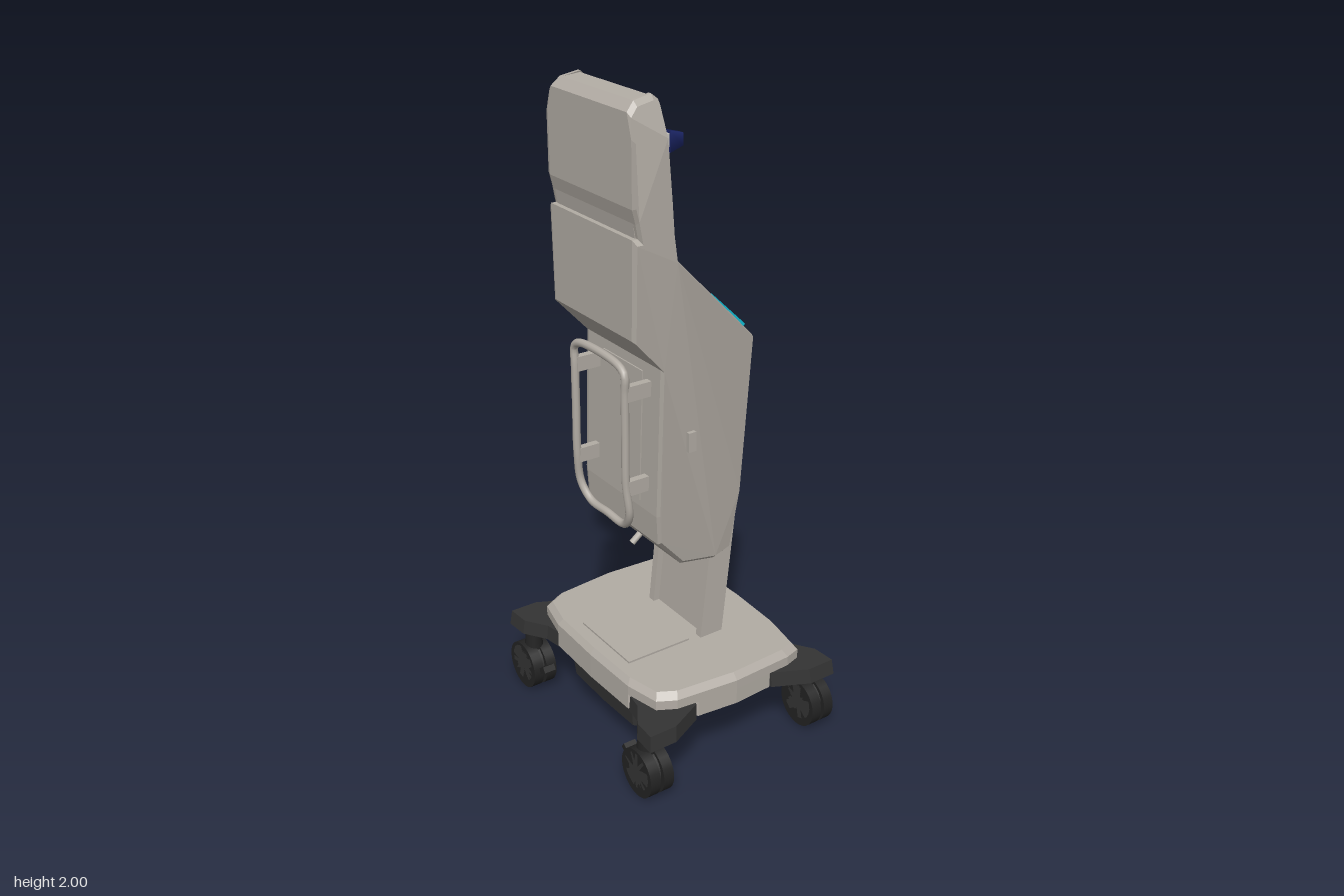
import * as THREE from 'three';

const mat = (name, color) => {
  const m = new THREE.MeshStandardMaterial({ color });
  m.name = name;
  return m;
};

export function createModel() {
  const root = new THREE.Group();
  root.name = 'medicalCart';
  const body = mat('warmGrey', 0xb2aca4);
  const light = mat('lightGrey', 0xcbc8c2);
  const dark = mat('charcoal', 0x343434);
  const black = mat('black', 0x232323);
  const cyan = mat('screenCyan', 0x11c0d8);
  const red = mat('red', 0xb02424);
  const blue = mat('navyBlue', 0x1c2668);

  const add = (name, geo, material, pos = [0, 0, 0], rotZ = 0) => {
    const m = new THREE.Mesh(geo, material);
    m.name = name;
    m.position.set(...pos);
    m.rotation.z = rotZ;
    root.add(m);
    return m;
  };
  const box = (name, material, size, pos, rotZ) => add(name, new THREE.BoxGeometry(...size), material, pos, rotZ);
  const shapeOf = pts => new THREE.Shape(pts.map(p => new THREE.Vector2(...p)));

  // Slab with a side profile in x,y; its z faces follow width rules, optional inset gives a chamfer
  const slab = (name, pts, z0, z1, centre, inset0 = 1, inset1 = 1, material = body) => {
    const g = new THREE.ExtrudeGeometry(shapeOf(pts), { depth: 1, bevelEnabled: false });
    const p = g.attributes.position;
    for (let i = 0; i < p.count; i++) {
      const x = p.getX(i), y = p.getY(i), end = p.getZ(i) > 0.5;
      const k = end ? inset1 : inset0;
      const [cx, cy] = centre || [0, 0];
      p.setXYZ(i, cx + (x - cx) * k, cy + (y - cy) * k, end ? z1(x, y) : z0(x, y));
    }
    g.computeVertexNormals();
    return add(name, g, material);
  };
  const core = (name, pts, w) => slab(name, pts, (x, y) => -w(x, y), w);
  // Mirrored pair of slabs between two distances from the middle plane
  const pair = (name, pts, inner, outer, centre, k = 1) => {
    slab(name + 'Left', pts, inner, outer, centre, 1, k);
    slab(name + 'Right', pts, (x, y) => -outer(x, y), (x, y) => -inner(x, y), centre, k, 1);
  };
  const walls = (name, pts, inner, outer, centre, k) => {
    const mid = (x, y) => outer(x, y) - 0.014;
    pair(name, pts, inner, mid);
    pair(name + 'Edge', pts, mid, outer, centre, k);
  };
  // Horizontal plate with an x,z outline and a scaled top and bottom
  const plate = (name, pts, y0, y1, material, top = 1, bottom = 1) => {
    const g = new THREE.ExtrudeGeometry(shapeOf(pts.map(([x, z]) => [x, -z])), { depth: y1 - y0, bevelEnabled: false });
    g.rotateX(-Math.PI / 2);
    const p = g.attributes.position;
    for (let i = 0; i < p.count; i++) {
      const k = p.getY(i) > (y1 - y0) / 2 ? top : bottom;
      p.setXYZ(i, p.getX(i) * k, p.getY(i) + y0, p.getZ(i) * k);
    }
    g.computeVertexNormals();
    return add(name, g, material);
  };
  const mirrorZ = half => [...half, ...half.slice().reverse().filter(p => p[1] !== 0).map(([x, z]) => [x, -z])];

  // Base: light cover, dark underside
  const outline = mirrorZ([[0.283, 0], [0.275, 0.2], [0.25, 0.335], [0.2, 0.35], [0, 0.36], [-0.2, 0.34], [-0.255, 0.31], [-0.28, 0.2], [-0.285, 0]]);
  const cut = mirrorZ([[0.283, 0], [0.275, 0.2], [0.13, 0.352], [0, 0.36], [-0.13, 0.347], [-0.28, 0.2], [-0.285, 0]]);
  plate('baseSkirt', cut, 0.2, 0.25, body);
  plate('baseCover', outline, 0.25, 0.28, body);
  plate('baseCoverTop', outline, 0.28, 0.3, body, 0.95);
  plate('baseUnderside', mirrorZ([[0.25, 0], [0.245, 0.17], [0.19, 0.235], [-0.19, 0.235], [-0.25, 0.17], [-0.255, 0]]), 0.1, 0.2, dark, 1, 0.96);
  box('basePanel', body, [0.22, 0.008, 0.26], [-0.12, 0.302, 0]);

  // Four arms with twin-wheel casters
  for (const sx of [1, -1]) for (const sz of [1, -1]) {
    const arm = [[0.34, 0.405], [0.25, 0.405], [0.14, 0.352], [0.1, 0.2], [0.278, 0.2], [0.288, 0.26], [0.335, 0.33]];
    plate('casterArm', arm.map(([x, z]) => [x * sx, z * sz]), 0.195, 0.245, dark, 0.985);
    add('casterStem', new THREE.CylinderGeometry(0.025, 0.03, 0.06, 16), black, [0.3 * sx, 0.17, 0.325 * sz]);
    for (const x of [0.277, 0.323]) {
      const wheel = new THREE.CylinderGeometry(0.077, 0.077, 0.034, 28).rotateZ(Math.PI / 2);
      add('casterWheel', wheel, black, [x * sx, 0.077, 0.332 * sz]);
    }
    add('casterHub', new THREE.CylinderGeometry(0.06, 0.06, 0.08, 20).rotateZ(Math.PI / 2), dark, [0.3 * sx, 0.085, 0.332 * sz]);
    box('brakePedal', black, [0.04, 0.02, 0.05], [0.3 * sx, 0.09, 0.25 * sz]).rotation.x = 0.6 * sz;
  }

  // Column: two cheeks around a recessed back
  const column = back => [[back, 0.29], [0.105, 0.29], [0.157, 0.77], [back + 0.05, 0.77]];
  core('columnCore', column(0.045), () => 0.115);
  pair('columnCheek', column(0.025), () => 0.115, () => 0.14);

  // Main housing: side walls, bowl behind the screen, niche in the front
  const { clamp, lerp } = THREE.MathUtils;
  const outer = (x, y) => {
    const w = lerp(0.217, 0.166, clamp((x + 0.1) / 0.3, 0, 1));
    return Math.max(w - 0.02 * clamp((1.42 - y) / 0.15, 0, 1) - 0.015 * clamp((0.72 - y) / 0.12, 0, 1), 0.143);
  };
  const inner = (x, y) => Math.max(outer(x, y) - 0.025, 0.118);
  const niche = () => 0.11;
  const back = [[-0.25, 1.64], [-0.25, 1.36], [-0.15, 1.25], [-0.165, 0.8], [-0.16, 0.71], [-0.07, 0.61], [0.07, 0.57], [0.13, 0.58], [0.157, 0.77]];
  const bowl = [[0.2, 1.26], [0.025, 1.43], [0.01, 1.38], [-0.16, 1.49], [-0.19, 1.64]];
  const front = [[0.168, 0.89], [0.115, 0.95], [0.133, 1.14], [0.192, 1.175]];
  walls('housingSide', [...back, [0.2, 1.26], [-0.12, 1.57], [-0.13, 1.64]], inner, outer, [0, 1.1], 0.975);
  pair('housingBody', [...back, ...bowl], niche, inner);
  core('housingCentre', [...back, ...front, ...bowl], niche);
  slab('rearPanel', [[-0.155, 1.22], [-0.168, 0.82], [-0.15, 0.82], [-0.14, 1.22]], () => -0.1, () => 0.1);
  for (const s of [1, -1]) box('sideLatch', body, [0.025, 0.06, 0.012], [-0.05, 1.01, 0.19 * s]);
  add('drainHook', new THREE.CylinderGeometry(0.01, 0.01, 0.05, 10), body, [-0.11, 0.635, 0], -0.9);

  // Upper tray with raised rim
  const trayWidth = (x, y) => 0.217 - 0.3 * Math.max(0, y - 1.9);
  const trayInner = (x, y) => trayWidth(x, y) - 0.025;
  const tray = [[-0.24, 1.68], [-0.225, 1.6], [-0.12, 1.58], [-0.13, 1.72], [-0.145, 1.9], [-0.152, 1.985], [-0.17, 2], [-0.225, 1.99], [-0.25, 1.965], [-0.25, 1.9], [-0.25, 1.72]];
  walls('traySide', tray, trayInner, trayWidth, [-0.19, 1.79], 0.93);
  core('trayBack', [[-0.24, 1.68], [-0.225, 1.55], [-0.19, 1.55], [-0.19, 1.95], [-0.15, 1.965], [-0.155, 1.985], [-0.17, 1.995], [-0.225, 1.99], [-0.25, 1.965], [-0.25, 1.9], [-0.25, 1.72]], trayInner);

  // Three rails with a knob above and clamps below
  for (const z of [0.15, 0, -0.15]) {
    const tip = z > 0 ? blue : black;
    box('rail', body, [0.04, 0.45, 0.01], [-0.175, 1.725, z]);
    box('railEdge', black, [0.004, 0.45, 0.01], [-0.153, 1.725, z]);
    box('knobArm', light, [0.08, 0.035, 0.024], [-0.14, 1.87, z]);
    const knob = new THREE.CylinderGeometry(0.02, 0.034, 0.045, 4, 1).rotateY(Math.PI / 4).rotateZ(-Math.PI / 2).scale(1, 1.2, 0.6);
    add('knob', knob, tip, [-0.083, 1.866, z]);
    box('railClamp', black, [0.045, 0.028, 0.036], [-0.145, 1.55, z]);
    box('bowlPeg', black, [0.03, 0.05, 0.03], [-0.075, 1.445, z]);
  }
  for (const s of [1, -1]) {
    const slot = add('bowlSlot', new THREE.CapsuleGeometry(0.014, 0.06, 4, 12).rotateZ(Math.PI / 2), body, [-0.1, 1.45, 0.1 * s], -0.57);
    slot.scale.y = 0.6;
  }
  box('bowlMarker', red, [0.014, 0.008, 0.012], [0.005, 1.39, 0.117], -0.57);

  // Sloped control panel
  const tilt = -0.77;
  box('screen', cyan, [0.163, 0.009, 0.29], [0.104, 1.356, 0], tilt);
  const button = plate('stopButton', [[-0.015, -0.025], [-0.015, 0.025], [0.015, 0.016], [0.015, -0.016]], 0, 0.014, red, 0.9);
  button.position.set(0.184, 1.276, 0);
  button.rotation.z = tilt;

  // Niche fittings
  const lean = -0.105;
  box('nicheFrame', body, [0.014, 0.165, 0.145], [0.125, 1.05, 0], lean);
  box('nicheGap', dark, [0.004, 0.14, 0.122], [0.132, 1.05, 0], lean);
  box('nichePlate', light, [0.008, 0.132, 0.114], [0.133, 1.05, 0], lean);
  box('nozzle', light, [0.025, 0.07, 0.03], [0.142, 1.05, 0], lean);
  box('nozzleGrip', red, [0.012, 0.04, 0.026], [0.155, 1.08, 0], lean);
  box('nozzleTip', dark, [0.012, 0.025, 0.014], [0.147, 1.01, 0], lean);
  box('indicator', cyan, [0.006, 0.012, 0.04], [0.193, 1.187, 0], -0.088);

  // Rear handle loop on four brackets
  const loop = [];
  for (const s of [1, -1]) {
    const ys = s > 0 ? [0.8, 0.9, 1.05, 1.18, 1.235] : [1.235, 1.18, 1.05, 0.9, 0.8];
    if (s > 0) loop.push([-0.212, 0.75, 0], [-0.213, 0.752, 0.09]);
    for (const y of ys) loop.push([y < 0.85 ? -0.222 : -0.232, y, 0.13 * s]);
    if (s > 0) loop.push([-0.232, 1.255, 0.1], [-0.232, 1.255, -0.1]);
    else loop.push([-0.213, 0.752, -0.09]);
  }
  const path = new THREE.CatmullRomCurve3(loop.map(p => new THREE.Vector3(...p)), true, 'centripetal');
  add('rearHandle', new THREE.TubeGeometry(path, 100, 0.012, 10, true), body);
  for (const y of [0.89, 1.18]) for (const z of [0.13, -0.13]) box('handleBracket', body, [0.08, 0.045, 0.022], [-0.19, y, z]);

  return root;
}
